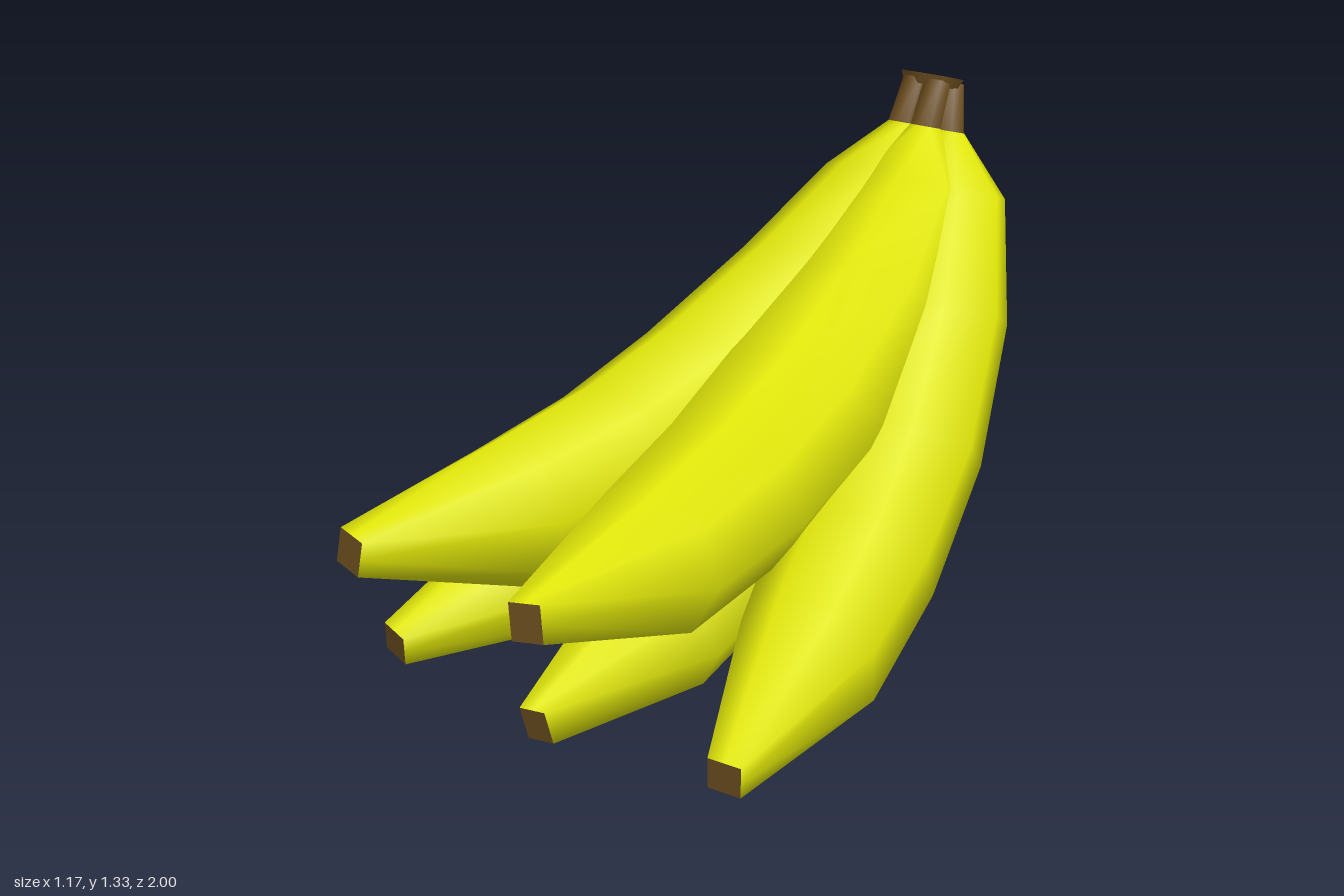
import * as THREE from 'three';

const SIDES = 8;
const PIVOT = { y: 1.2, z: -0.9 };
const rad = THREE.MathUtils.degToRad;

// Fruit profile relative to the pivot: [top z, top y, bottom z, bottom y, half width]
const PROFILE = [
  [0.26, -0.075, -0.03, -0.252, 0.165],
  [0.55, -0.23, 0.20, -0.53, 0.215],
  [0.88, -0.37, 0.59, -0.745, 0.23],
  [1.14, -0.45, 1.035, -0.86, 0.212],
  [1.42, -0.50, 1.43, -0.873, 0.18],
  [1.88, -0.585, 1.89, -0.668, 0.04],
];
// Line from neck to tip, about which the arc of a fruit rolls
const CHORD = new THREE.Vector3(0, -0.625, 1.885).normalize();

// One cross-section, counter-clockwise seen from the tip; square ones end the fruit
function makeRing([tz, ty, bz, by, w], roll = 0, square = false) {
  const points = [];
  for (let j = 0; j < SIDES; j++) {
    const a = (j / SIDES) * Math.PI * 2;
    const k = square ? 1 / Math.max(Math.abs(Math.cos(a)), Math.abs(Math.sin(a))) : 1;
    const c = Math.cos(a + roll) * k, s = Math.sin(a + roll) * k;
    points.push(new THREE.Vector3(
      c * w,
      (ty + by) / 2 + s * (ty - by) / 2,
      (tz + bz) / 2 + s * (tz - bz) / 2,
    ));
  }
  return points;
}

// Smooth skin through a list of rings
function loft(rings) {
  const index = [];
  for (let i = 0; i < rings.length - 1; i++) {
    for (let j = 0; j < SIDES; j++) {
      const a = i * SIDES + j, b = i * SIDES + (j + 1) % SIDES;
      index.push(a, b, b + SIDES, a, b + SIDES, a + SIDES);
    }
  }
  const geometry = new THREE.BufferGeometry().setFromPoints(rings.flat());
  geometry.setIndex(index);
  geometry.computeVertexNormals();
  return geometry;
}

// Flat end closing a ring
function cap(ring) {
  const index = [];
  for (let j = 1; j < SIDES - 1; j++) index.push(0, j, j + 1);
  const geometry = new THREE.BufferGeometry().setFromPoints(ring);
  geometry.setIndex(index);
  geometry.computeVertexNormals();
  return geometry;
}

function makeBanana(spec, peel, wood) {
  const { name, x, topX, upper, pitch, yaw, arc, ringRoll, tipRoll, scale } = spec;
  const group = new THREE.Group();
  group.name = name;

  // Stem rings, already in place
  const move = (ring, dx) => ring.map((p) => p.setX(p.x + dx));
  const neck = move(makeRing(upper
    ? [-0.81, 1.21, -0.895, 1.185, 0.043]
    : [-0.855, 1.195, -0.943, 1.17, 0.045]), x);
  const stemTop = move(makeRing(upper
    ? [-0.875, 1.322, -0.945, 1.301, 0.038]
    : [-0.92, 1.31, -0.985, 1.29, 0.038]), topX);

  // Fruit rings: arc rolled, pitched down, then fanned sideways around the neck
  const place = new THREE.Matrix4().makeTranslation(x, PIVOT.y, PIVOT.z)
    .multiply(new THREE.Matrix4().makeRotationY(rad(yaw)))
    .multiply(new THREE.Matrix4().makeRotationX(rad(pitch)))
    .multiply(new THREE.Matrix4().makeRotationAxis(CHORD, rad(arc)))
    .multiply(new THREE.Matrix4().makeScale(scale, scale, scale));
  const body = PROFILE.map((row, i) => {
    const isTip = i === PROFILE.length - 1;
    return makeRing(row, rad(isTip ? tipRoll : ringRoll), isTip)
      .map((p) => p.applyMatrix4(place));
  });

  const add = (part, geometry, material) => {
    const mesh = new THREE.Mesh(geometry, material);
    mesh.name = part;
    group.add(mesh);
  };
  add('fruit', loft([neck, ...body]), peel);
  add('tip', cap(body[body.length - 1]), wood);
  add('stem', loft([stemTop, neck]), wood);
  return group;
}

export function createModel() {
  const peel = new THREE.MeshStandardMaterial({ color: 0xdfe508 });
  peel.name = 'yellowPeel';
  const wood = new THREE.MeshStandardMaterial({ color: 0x6b4d1e });
  wood.name = 'brownStem';

  const bananas = [
    { name: 'upperRightBanana', x: -0.065, topX: -0.065, upper: true, pitch: 0, yaw: -6.6, arc: 0, ringRoll: 9, tipRoll: -8, scale: 1.007 },
    { name: 'upperLeftBanana', x: 0.005, topX: 0.0, upper: true, pitch: 0, yaw: 7.2, arc: 0, ringRoll: -8, tipRoll: 9, scale: 1.007 },
    { name: 'lowerRightBanana', x: -0.085, topX: -0.075, upper: false, pitch: 14.4, yaw: -14.3, arc: -9, ringRoll: 9, tipRoll: -4, scale: 0.985 },
    { name: 'lowerMiddleBanana', x: -0.02, topX: -0.03, upper: false, pitch: 14.9, yaw: 1.4, arc: 0, ringRoll: -9, tipRoll: 10, scale: 0.987 },
    { name: 'lowerLeftBanana', x: 0.045, topX: 0.015, upper: false, pitch: 13.8, yaw: 16.7, arc: 9, ringRoll: 12, tipRoll: -12, scale: 0.985 },
  ];

  const bunch = new THREE.Group();
  bunch.name = 'bananaBunch';
  for (const spec of bananas) bunch.add(makeBanana(spec, peel, wood));

  // Flared crown joining the stems
  const crown = new THREE.Mesh(new THREE.CylinderGeometry(1, 0.85, 0.028, SIDES), wood);
  crown.name = 'crown';
  crown.scale.set(0.098, 1, 0.068);
  crown.rotation.x = rad(-17);
  crown.position.set(-0.035, 1.302, -0.933);
  bunch.add(crown);
  return bunch;
}
